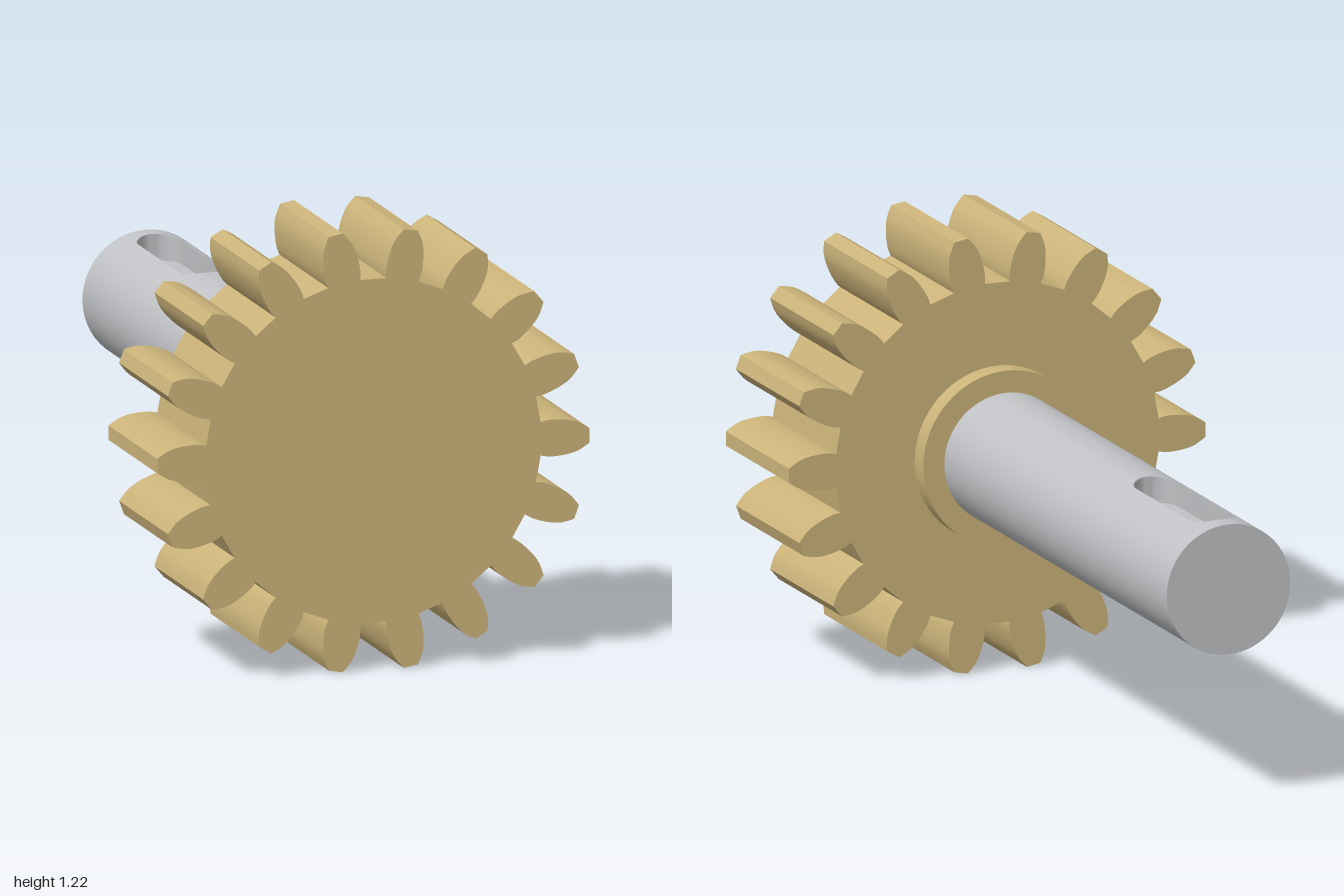
import * as THREE from 'three';
import { toCreasedNormals } from 'three/addons/utils/BufferGeometryUtils.js';

const AXIS_Y = 0.609;   // height of the shaft axis
const SHAFT_R = 0.182;
const SLOT_W = 0.0625;  // half width of the keyway

// Spur gear outline: one tooth flank, mirrored and repeated around the axis
function gearGeometry(teeth, depth) {
  const flank = new THREE.SplineCurve([
    [0.475, 0.046], [0.495, 0.0505], [0.525, 0.0505], [0.557, 0.0465], [0.585, 0.038], [0.614, 0.02],
  ].map(([r, h]) => new THREE.Vector2(r, h))).getPoints(10);
  const tooth = [
    ...flank.map((p) => new THREE.Vector2(p.x, -p.y)),
    ...flank.slice().reverse(),
  ];
  const outline = [];
  const origin = new THREE.Vector2();
  for (let i = 0; i < teeth; i++) {
    const angle = (i / teeth) * Math.PI * 2;
    for (const p of tooth) outline.push(p.clone().rotateAround(origin, angle));
  }
  const geometry = new THREE.ExtrudeGeometry(new THREE.Shape(outline), { depth, bevelEnabled: false });
  return toCreasedNormals(geometry, 0.45);
}

// Round shaft along z, with a round-ended keyway sunk into its top
function shaftGeometry(back, front) {
  const slotBack = -0.945 + SLOT_W, slotFront = -0.45 - SLOT_W, floor = SHAFT_R - 0.075;
  const positions = [];
  const tri = (...pts) => pts.forEach((p) => positions.push(...p));
  const quad = (a, b, c, d) => { tri(a, b, c); tri(a, c, d); };
  const at = (a, z) => [SHAFT_R * Math.sin(a), SHAFT_R * Math.cos(a), z];
  const skin = (a1, a2, f1, f2, b1, b2) => quad(at(a1, f1), at(a2, f2), at(a2, b2), at(a1, b1));
  const cap = (a1, a2) => tri([0, 0, back], at(a1, back), at(a2, back));

  // Columns crossing the keyway: skin on both sides of it, end walls and floor
  const steps = 20;
  const column = (i) => {
    const t = (i / steps - 0.5) * Math.PI;
    const x = SLOT_W * Math.sin(t), bow = SLOT_W * Math.cos(t);
    return { x, a: Math.asin(x / SHAFT_R), zb: slotBack - bow, zf: slotFront + bow };
  };
  for (let i = 0; i < steps; i++) {
    const p = column(i), q = column(i + 1);
    skin(p.a, q.a, front, front, p.zf, q.zf);
    skin(p.a, q.a, p.zb, q.zb, back, back);
    cap(p.a, q.a);
    quad([p.x, floor, p.zf], [q.x, floor, q.zf], [q.x, floor, q.zb], [p.x, floor, p.zb]);
    quad([p.x, floor, p.zb], [q.x, floor, q.zb], at(q.a, q.zb), at(p.a, p.zb));
    quad(at(p.a, p.zf), at(q.a, q.zf), [q.x, floor, q.zf], [p.x, floor, p.zf]);
  }

  // Straight side walls of the keyway
  const edge = Math.asin(SLOT_W / SHAFT_R);
  quad([-SLOT_W, floor, slotFront], [-SLOT_W, floor, slotBack], at(-edge, slotBack), at(-edge, slotFront));
  quad(at(edge, slotFront), at(edge, slotBack), [SLOT_W, floor, slotBack], [SLOT_W, floor, slotFront]);

  // Rest of the round surface
  const rest = 56, span = Math.PI * 2 - edge * 2;
  for (let i = 0; i < rest; i++) {
    const a1 = edge + (span * i) / rest, a2 = edge + (span * (i + 1)) / rest;
    skin(a1, a2, front, front, back, back);
    cap(a1, a2);
  }

  const geometry = new THREE.BufferGeometry();
  geometry.setAttribute('position', new THREE.Float32BufferAttribute(positions, 3));
  return toCreasedNormals(geometry, 0.5);
}

export function createModel() {
  const brass = new THREE.MeshStandardMaterial({ color: 0xccb47a });
  brass.name = 'brass';
  const steel = new THREE.MeshStandardMaterial({ color: 0xc0c2c5 });
  steel.name = 'steel';

  const model = new THREE.Group();
  model.name = 'gearShaft';
  const add = (name, geometry, material, z) => {
    const mesh = new THREE.Mesh(geometry, material);
    mesh.name = name;
    mesh.position.set(0, AXIS_Y, z);
    model.add(mesh);
  };

  add('gear', gearGeometry(18, 0.43), brass, 0.57);
  const collar = new THREE.CylinderGeometry(0.244, 0.244, 0.07, 64).rotateX(Math.PI / 2);
  add('collar', collar, brass, 0.546);
  add('shaft', shaftGeometry(-1, 0.53), steel, 0);
  return model;
}
